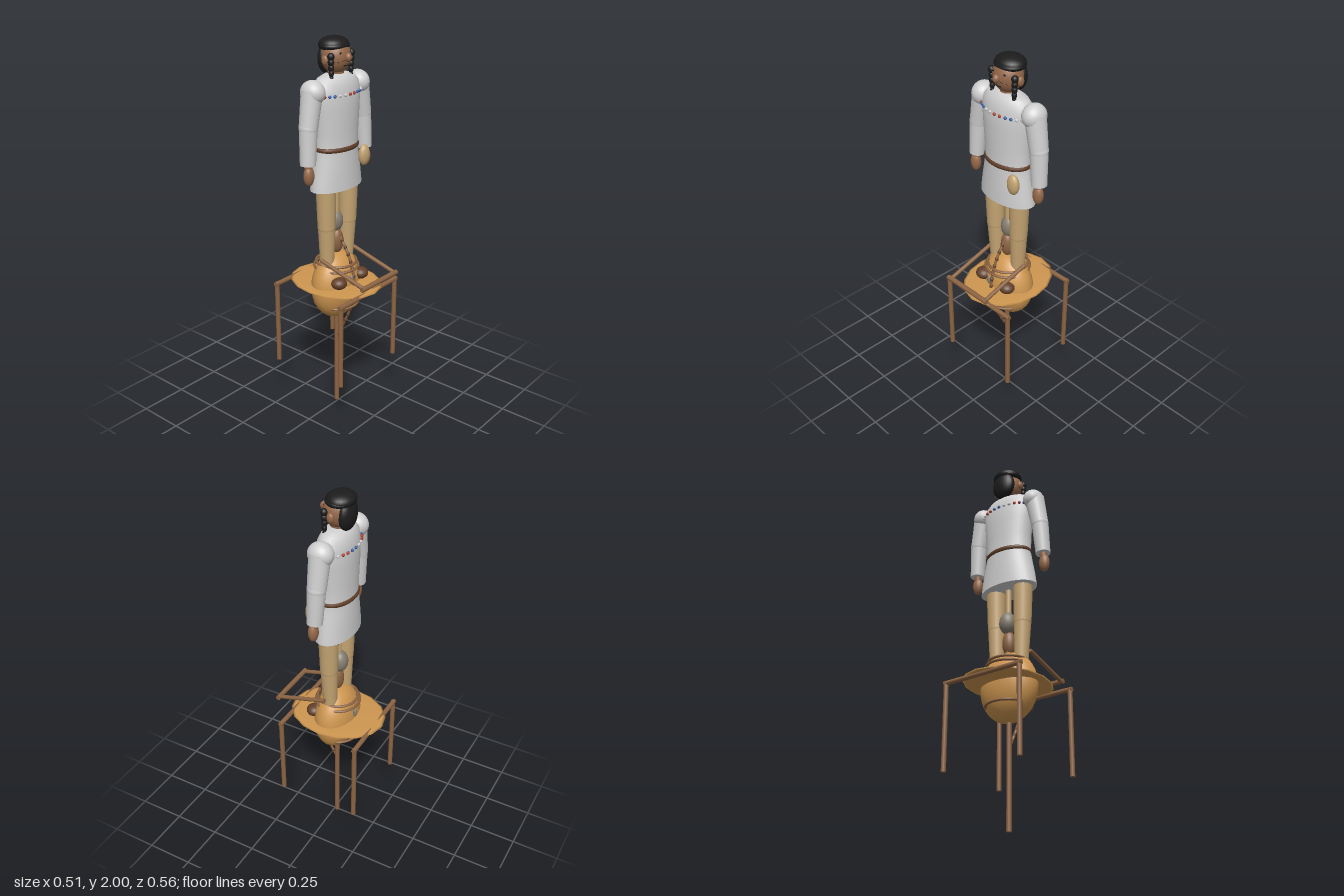
import * as THREE from 'three';
import { mergeVertices, toCreasedNormals } from 'three/addons/utils/BufferGeometryUtils.js';

const mat = (name, color) => {
  const m = new THREE.MeshStandardMaterial({ color });
  m.name = name;
  return m;
};
const V = (x, y, z) => new THREE.Vector3(x, y, z);

export function createModel() {
  const white = mat('white cloth', 0xcfcfcf);
  const hide = mat('pale hide', 0xc4a472);
  const wood = mat('wood', 0x8b6342);
  const skin = mat('skin', 0x96694a);
  const hair = mat('black hair', 0x1c1c1c);
  const shell = mat('orange shell', 0xcd9650);
  const leather = mat('dark leather', 0x63402a);
  const red = mat('red bead', 0xb03a28);
  const blue = mat('blue bead', 0x3561a8);
  const stone = mat('grey stone', 0x857d70);

  const model = new THREE.Group();
  model.name = 'figureOnStand';
  const add = (name, geo, material) => {
    const mesh = new THREE.Mesh(geo, material);
    mesh.name = name;
    model.add(mesh);
    return mesh;
  };
  const ball = (name, m, x, y, z, rx, ry = rx, rz = rx, w = 24, h = 16) => {
    const mesh = add(name, new THREE.SphereGeometry(1, w, h), m);
    mesh.position.set(x, y, z);
    mesh.scale.set(rx, ry, rz);
    return mesh;
  };
  // Tapered rod from a (radius ra) to b (radius rb)
  const rod = (name, m, a, b, ra, rb = ra) => {
    const d = b.clone().sub(a);
    const mesh = add(name, new THREE.CylinderGeometry(rb, ra, d.length(), 20), m);
    mesh.position.copy(a).addScaledVector(d, 0.5);
    mesh.quaternion.setFromUnitVectors(V(0, 1, 0), d.normalize());
    return mesh;
  };
  // Stack of ellipses [y, rx, rz], bottom to top
  const loft = (rows) => {
    const g = new THREE.LatheGeometry(rows.map(([y, rx]) => new THREE.Vector2(rx, y)), 36);
    const p = g.attributes.position;
    for (let i = 0; i < p.count; i++) {
      const [, rx, rz] = rows[i % rows.length];
      p.setZ(i, p.getZ(i) * rz / rx);
    }
    g.deleteAttribute('uv');
    g.deleteAttribute('normal');
    return toCreasedNormals(mergeVertices(g, 1e-6), 0.7);
  };
  const hoop = (name, m, y, z, rx, rz, tube, height = tube) => {
    const g = new THREE.TorusGeometry(1, 1, 10, 48);
    const p = g.attributes.position;
    for (let i = 0; i <= 10; i++) {
      const t = (i / 10) * Math.PI * 2;
      for (let j = 0; j <= 48; j++) {
        const a = (j / 48) * Math.PI * 2;
        p.setXYZ(i * 49 + j, Math.cos(a) * (rx + tube * Math.cos(t)), height * Math.sin(t),
          -Math.sin(a) * (rz + tube * Math.cos(t)));
      }
    }
    g.computeVertexNormals();
    add(name, g, m).position.set(0, y, z);
  };

  // Stand: centre post, shell body, brim and bands
  rod('centrePost', wood, V(0, 0, -0.015), V(0, 0.75, -0.015), 0.013);
  ball('shellBody', shell, 0, 0.715, -0.015, 0.161, 0.185, 0.11, 32, 20);
  ball('brim', shell, 0, 0.73, -0.02, 0.21, 0.009, 0.26, 16, 10);
  hoop('lowerBand', wood, 0.613, -0.018, 0.115, 0.115, 0.007);
  hoop('middleBand', wood, 0.822, -0.018, 0.115, 0.115, 0.007);
  hoop('upperBand', wood, 0.847, -0.018, 0.105, 0.105, 0.007);

  // Frame rails and hanging posts
  for (const z of [0.198, -0.235]) {
    rod('rail', wood, V(-0.235, 0.722, z), V(0.235, 0.722, z), 0.0125);
    for (const s of [-1, 1]) rod('framePost', wood, V(s * 0.223, 0.272, z), V(s * 0.223, 0.73, z), 0.0125);
  }

  // Front handle
  rod('handleBar', wood, V(-0.142, 0.81, 0.265), V(0.142, 0.81, 0.265), 0.013);
  for (const s of [-1, 1]) rod('handleArm', wood, V(s * 0.127, 0.812, 0.262), V(s * 0.127, 0.888, -0.01), 0.0105);

  // Knotted cord hanging over the shell
  const cord = new THREE.CatmullRomCurve3([V(0, 1, 0), V(0, 0.87, 0.075), V(0, 0.72, 0.105),
    V(0, 0.6, 0.08), V(0, 0.5, 0.038), V(0, 0.41, -0.01)]);
  add('cord', new THREE.TubeGeometry(cord, 40, 0.007, 8), wood);
  cord.getSpacedPoints(16).forEach((p) => ball('cordKnot', leather, p.x, p.y, p.z, 0.0095, 0.013, 0.0095, 10, 8));
  ball('frontCharm', stone, -0.018, 0.775, 0.1, 0.011, 0.026, 0.01);
  ball('backCharm', stone, 0.012, 0.775, -0.127, 0.011, 0.026, 0.01);

  // Club hanging between the legs
  rod('clubStick', hide, V(0, 0.9, -0.02), V(0, 1.3, -0.02), 0.016);
  ball('clubHead', stone, 0, 1.067, -0.028, 0.045, 0.06, 0.043);
  ball('clubGrip', wood, 0, 0.958, -0.015, 0.036, 0.068, 0.034);

  // Tunic, centred a little behind z = 0
  add('tunic', loft([[1.26, 0.001, 0.001], [1.26, 0.168, 0.094], [1.33, 0.158, 0.092], [1.42, 0.14, 0.089],
    [1.47, 0.132, 0.086], [1.56, 0.136, 0.087], [1.66, 0.146, 0.088], [1.735, 0.152, 0.086],
    [1.78, 0.145, 0.077], [1.81, 0.12, 0.062], [1.825, 0.07, 0.045], [1.83, 0.001, 0.001]]), white)
    .position.z = -0.018;
  hoop('belt', leather, 1.468, -0.018, 0.13, 0.087, 0.007, 0.012);
  ball('pouch', hide, 0.12, 1.405, 0.064, 0.035, 0.054, 0.025);

  // Bead yoke, in pairs of colours
  const beadColours = [red, red, blue, blue, white, white];
  for (let i = 0; i < 30; i++) {
    const a = (i / 30) * Math.PI * 2;
    ball('bead', beadColours[i % 6], Math.sin(a) * 0.155, 1.735, -0.02 + Math.cos(a) * 0.09, 0.009, 0.008, 0.007, 10, 8);
  }

  for (const s of [-1, 1]) {
    // Arm
    ball('shoulder', white, s * 0.168, 1.757, -0.02, 0.056, 0.06, 0.064);
    rod('upperSleeve', white, V(s * 0.205, 1.59, -0.018), V(s * 0.173, 1.765, -0.02), 0.046, 0.053);
    ball('elbow', white, s * 0.205, 1.595, -0.018, 0.046);
    rod('lowerSleeve', white, V(s * 0.217, 1.415, -0.012), V(s * 0.205, 1.6, -0.018), 0.039, 0.045);
    rod('wrist', skin, V(s * 0.218, 1.37, -0.006), V(s * 0.217, 1.43, -0.01), 0.02);
    ball('hand', skin, s * 0.219, 1.363, -0.005, 0.029, 0.05, 0.025);
    // Leg and moccasin
    rod('upperLeg', hide, V(s * 0.083, 1.06, -0.012), V(s * 0.087, 1.29, -0.012), 0.046, 0.052);
    ball('knee', hide, s * 0.083, 1.06, -0.012, 0.046);
    rod('lowerLeg', hide, V(s * 0.077, 0.85, -0.015), V(s * 0.083, 1.065, -0.012), 0.036, 0.045);
    ball('moccasin', leather, s * 0.088, 0.77, 0.074, 0.042, 0.031, 0.041);
    // Ear, eye, cheek line and braid
    ball('ear', skin, s * 0.08, 1.895, -0.02, 0.012, 0.024, 0.018);
    ball('eye', hair, s * 0.033, 1.928, 0.037, 0.009, 0.008, 0.006, 12, 8);
    rod('cheekLine', hair, V(s * 0.018, 1.895, 0.05), V(s * 0.05, 1.885, 0.031), 0.0025);
    for (let i = 0; i < 5; i++) {
      ball('braid', hair, s * (0.076 - i * 0.001), 1.915 - i * 0.026, 0.014, 0.017 - i * 0.0015, 0.019, 0.017 - i * 0.0015, 14, 10);
    }
  }

  // Head
  rod('neck', skin, V(0, 1.8, -0.02), V(0, 1.87, -0.02), 0.04);
  ball('head', skin, 0, 1.905, -0.018, 0.076, 0.083, 0.071);
  ball('nose', skin, 0, 1.907, 0.057, 0.017, 0.021, 0.018);
  rod('mouth', hair, V(-0.018, 1.868, 0.044), V(0.018, 1.868, 0.044), 0.003);
  ball('hairCap', hair, 0, 1.962, -0.033, 0.079, 0.039, 0.07);
  hoop('headBand', hair, 1.956, -0.03, 0.073, 0.063, 0.008, 0.012);
  ball('backHair', hair, 0, 1.895, -0.066, 0.068, 0.08, 0.038);

  return model;
}
